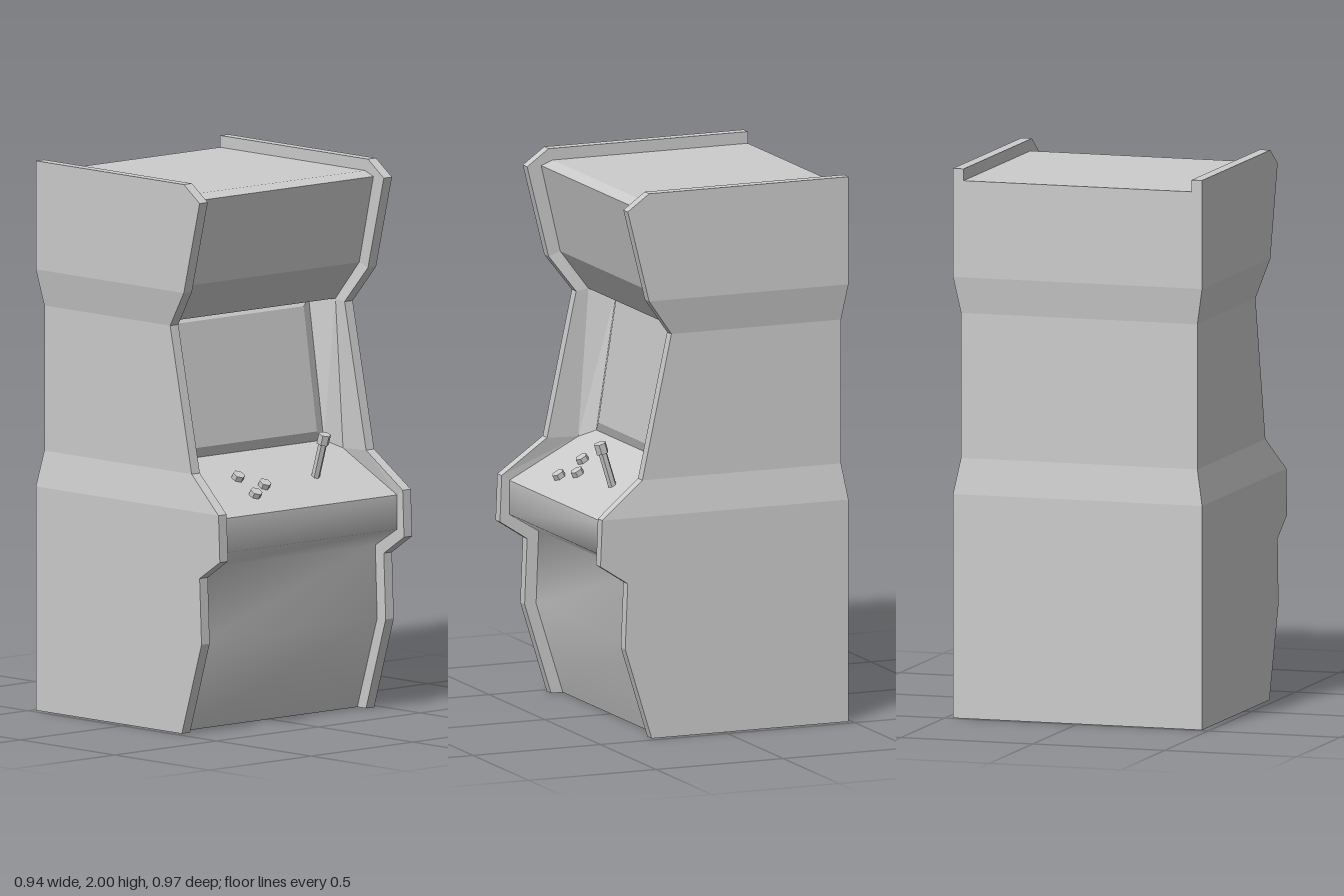
import * as THREE from 'three';

const material = (flatShading) =>
  new THREE.MeshStandardMaterial({ color: 0xcccccc, flatShading, side: THREE.DoubleSide });
const flat = material(true);
const smooth = material(false);

// Front edge of the side panels [z, y], from the floor up and back over the top
const outer = [
  [0.286, 0], [0.39, 0.335], [0.38, 0.575], [0.487, 0.645], [0.48, 0.815],
  [0.312, 0.945], [0.198, 1.473], [0.296, 1.605], [0.38, 1.94], [0.296, 2], [-0.487, 2],
];
// Front and top panels set back between the side panels [z, y]
const inset = [
  [0.24, 0], [0.345, 0.335], [0.335, 0.6], [0.45, 0.67], [0.45, 0.795],
  [0.19, 0.94], [0.15, 1.48], [0.25, 1.62], [0.325, 1.94], [0.28, 1.957], [-0.487, 1.957],
];
const EDGE = 0.04; // side panel thickness
const isWaist = (i) => i === 5 || i === 6;
const halfWidth = (i) => (isWaist(i) ? 0.448 : 0.472);
const backZ = (i) => (isWaist(i) ? -0.468 : -0.487);
const innerX = (i) => halfWidth(i) - EDGE;

const range = (from, to) => Array.from({ length: to - from + 1 }, (_, k) => from + k);
const flip = (row) => row.map(([x, y, z]) => [-x, y, z]);

// Surface between two polylines of equal length
function strip(name, a, b, mat = flat) {
  const geometry = new THREE.BufferGeometry();
  geometry.setAttribute('position', new THREE.Float32BufferAttribute([...a, ...b].flat(), 3));
  const n = a.length;
  const index = [];
  for (let i = 0; i < n - 1; i++) index.push(i, n + i, n + i + 1, i, n + i + 1, i + 1);
  geometry.setIndex(index);
  geometry.computeVertexNormals();
  const mesh = new THREE.Mesh(geometry, mat);
  mesh.name = name;
  return mesh;
}

// The same strip on the left (+x) and mirrored on the right
const pair = (name, a, b) => [
  strip('left' + name, a, b),
  strip('right' + name, flip(b), flip(a)),
];

// Panel spanning the cabinet between the two side panels
function span(name, from, to, mat) {
  const row = range(from, to).map((i) => [innerX(i), inset[i][1], inset[i][0]]);
  return strip(name, flip(row), row, mat);
}

function createCabinet() {
  const group = new THREE.Group();
  group.name = 'cabinet';
  const all = range(0, 10);
  const sideRows = range(0, 9);
  const rimIn = all.map((i) => [innerX(i), outer[i][1], outer[i][0]]);
  const rimOut = all.map((i) => [halfWidth(i), outer[i][1], outer[i][0]]);
  const setBack = all.map((i) => [innerX(i), inset[i][1], inset[i][0]]);
  const sideBack = sideRows.map((i) => [halfWidth(i), outer[i][1], backZ(i)]);

  // Side panels with their thick rims
  group.add(
    ...pair('SidePanel', rimOut.slice(0, 10), sideBack),
    ...pair('Rim', rimIn, rimOut),
    ...pair('RimInside', setBack, rimIn),
    ...pair('RimBackEnd',
      [[0.472, 1.957, -0.487], [0.472, 2, -0.487]],
      [[0.432, 1.957, -0.487], [0.432, 2, -0.487]]),
  );

  // Back panel, narrowed at the waist
  const backRow = sideBack.map(([x, y, z]) => [x, Math.min(y, 1.957), z]);
  group.add(strip('backPanel', backRow, flip(backRow)));

  // Front panels and roof
  group.add(
    span('lowerFront', 0, 4, smooth),
    span('controlPanel', 4, 5),
    span('marqueeUnderside', 6, 7),
    span('marquee', 7, 8),
    span('roof', 8, 10),
  );
  return group;
}

// Recess with splayed walls and a bulging screen
function createScreen() {
  const group = new THREE.Group();
  group.name = 'screen';
  const mouth = [5, 6].map((i) => [innerX(i), inset[i][1], inset[i][0]]);
  const bezel = [[0.36, 0.968, 0.14], [0.36, 1.478, 0.06]];
  const glass = [[0.315, 1.005, 0.152], [0.315, 1.453, 0.082]];
  group.add(...pair('RecessWall', bezel, mouth), ...pair('GlassEdge', glass, bezel));
  group.add(strip('glass', flip(glass), glass));

  const across = (name, low, high) =>
    strip(name, flip([low, high]), [low, high]);
  group.add(
    across('recessFloor', mouth[0], bezel[0]),
    across('recessCeiling', bezel[1], mouth[1]),
    across('glassBottomEdge', bezel[0], glass[0]),
    across('glassTopEdge', glass[1], bezel[1]),
  );
  return group;
}

function hexPost(name, radius, height, y) {
  const geometry = new THREE.CylinderGeometry(radius, radius, height, 6);
  const mesh = new THREE.Mesh(geometry, flat);
  mesh.name = name;
  mesh.position.y = y;
  return mesh;
}

// Buttons and joystick standing on the sloped panel
function createControls() {
  const group = new THREE.Group();
  group.name = 'controls';
  const slope = (0.94 - 0.795) / (0.45 - 0.19);
  const panelY = (z) => 0.795 + slope * (0.45 - z);
  const place = (name, x, z, tilt, ...parts) => {
    const holder = new THREE.Group();
    holder.name = name;
    holder.position.set(x, panelY(z), z);
    holder.rotation.x = tilt;
    holder.add(...parts);
    group.add(holder);
  };

  [[-0.183, 0.36], [-0.183, 0.268], [-0.104, 0.322]].forEach(([x, z]) =>
    place('button', x, z, Math.atan(slope), hexPost('buttonCap', 0.023, 0.04, 0)));

  place('joystick', 0.165, 0.307, 0.3,
    hexPost('shaft', 0.016, 0.15, 0.06),
    hexPost('knob', 0.023, 0.038, 0.146));
  return group;
}

export function createModel() {
  const model = new THREE.Group();
  model.name = 'arcadeCabinet';
  model.add(createCabinet(), createScreen(), createControls());
  return model;
}
